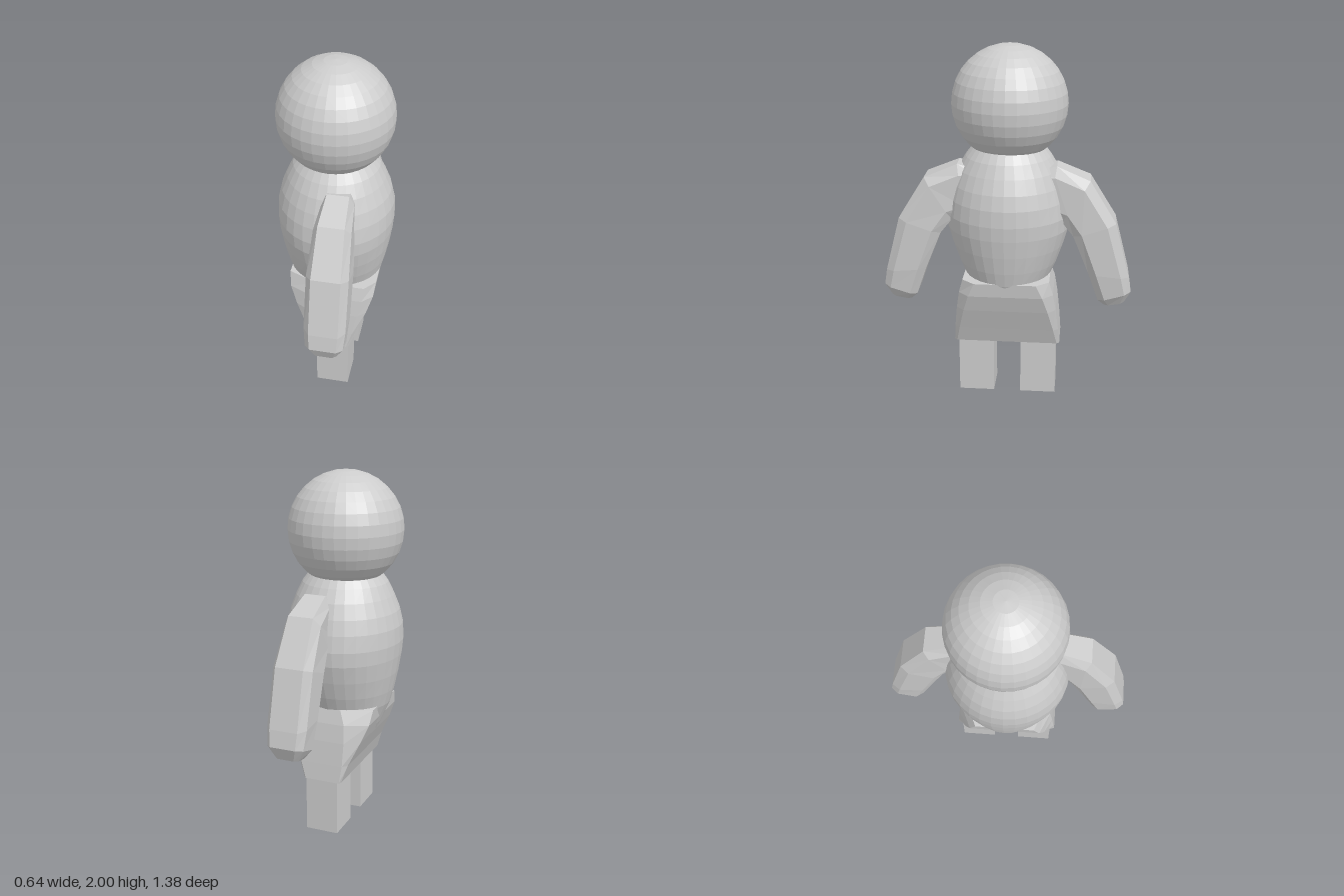
import * as THREE from 'three';

// Skin a list of rings (equal point counts), counter-clockwise seen from the last ring.
function loft(rings) {
  const pos = [];
  const tri = (a, b, c) => pos.push(...a, ...b, ...c);
  const n = rings[0].length;
  for (let i = 0; i < rings.length - 1; i++) {
    for (let j = 0; j < n; j++) {
      const k = (j + 1) % n;
      const a = rings[i][j], b = rings[i][k], c = rings[i + 1][k], d = rings[i + 1][j];
      tri(a, b, c);
      tri(a, c, d);
    }
  }
  const first = rings[0], last = rings[rings.length - 1];
  for (let j = 1; j < n - 1; j++) {
    tri(first[0], first[j + 1], first[j]);
    tri(last[0], last[j], last[j + 1]);
  }
  const g = new THREE.BufferGeometry();
  g.setAttribute('position', new THREE.Float32BufferAttribute(pos, 3));
  g.computeVertexNormals();
  return g;
}

// Egg-shaped torso; rows are height, half width in x, half width in z.
function torsoGeometry() {
  const rows = [
    [0.42, 0.11, 0.1], [0.5, 0.16, 0.14], [0.6, 0.21, 0.185], [0.72, 0.26, 0.24],
    [0.8, 0.28, 0.275], [0.9, 0.3, 0.31], [1.0, 0.315, 0.338], [1.08, 0.322, 0.343],
    [1.17, 0.318, 0.33], [1.25, 0.3, 0.308], [1.33, 0.268, 0.277], [1.4, 0.235, 0.235],
    [1.46, 0.19, 0.19],
  ];
  const n = 32;
  return loft(rows.map(([y, rx, rz]) => Array.from({ length: n }, (_, j) => {
    const t = (j / n) * Math.PI * 2;
    return [rx * Math.cos(t), y, -rz * Math.sin(t)];
  })));
}

// Hips: wedge flaring outward at the top, with chamfered corners.
function hipsGeometry() {
  // y, end z, end x min/max, middle z, middle x min/max
  const rows = [
    [0.32, 0.3, -0.085, 0.115, 0.285, -0.092, 0.128],
    [0.42, 0.292, -0.1, 0.145, 0.265, -0.125, 0.165],
    [0.55, 0.278, -0.105, 0.17, 0.235, -0.185, 0.215],
    [0.65, 0.262, -0.1, 0.19, 0.205, -0.225, 0.248],
    [0.73, 0.24, -0.07, 0.2, 0.17, -0.235, 0.258],
  ];
  return loft(rows.map(([y, ez, ea, eb, mz, ma, mb]) => [
    [mb, y, mz], [mb, y, -mz], [eb, y, -ez], [ea, y, -ez],
    [ma, y, -mz], [ma, y, mz], [ea, y, ez], [eb, y, ez],
  ]));
}

// Bent octagonal arm reaching out along +z and down.
function armGeometry() {
  // outer z/y, inner z/y, half width in x
  const rows = [
    [0.14, 1.34, 0.14, 1.14, 0.08],
    [0.27, 1.37, 0.22, 1.08, 0.085],
    [0.45, 1.295, 0.3, 1.06, 0.1],
    [0.595, 1.06, 0.365, 0.98, 0.112],
    [0.675, 0.75, 0.45, 0.77, 0.112],
    [0.69, 0.66, 0.508, 0.605, 0.102],
    [0.655, 0.585, 0.545, 0.565, 0.065],
  ];
  const section = [[1, -0.6], [1, 0.6], [0.7, 1], [-0.7, 1], [-1, 0.6], [-1, -0.6], [-0.7, -1], [0.7, -1]];
  return loft(rows.map(([oz, oy, iz, iy, hx]) => section.map(([u, v]) => [
    u * hx,
    (oy + iy) / 2 + (v * (oy - iy)) / 2,
    (oz + iz) / 2 + (v * (oz - iz)) / 2,
  ])));
}

export function createModel() {
  const model = new THREE.Group();
  model.name = 'figure';
  const grey = new THREE.MeshStandardMaterial({ color: 0xcccccc, flatShading: true });
  grey.name = 'light grey';

  const add = (name, geometry, x = 0, y = 0, z = 0) => {
    const mesh = new THREE.Mesh(geometry, grey);
    mesh.name = name;
    mesh.position.set(x, y, z);
    model.add(mesh);
    return mesh;
  };

  add('head', new THREE.SphereGeometry(0.315, 32, 16), -0.006, 1.685, -0.006);
  add('torso', torsoGeometry());
  add('hips', hipsGeometry());

  // Arms and legs sit on the two z sides
  const arm = armGeometry();
  const leg = new THREE.BoxGeometry(0.186, 0.34, 0.2);
  for (const side of [1, -1]) {
    const tag = side > 0 ? 'front' : 'back';
    add(tag + 'Arm', arm, 0.06).rotation.y = side > 0 ? 0 : Math.PI;
    add(tag + 'Leg', leg, 0.028, 0.17, side > 0 ? 0.175 : -0.178);
  }
  return model;
}
